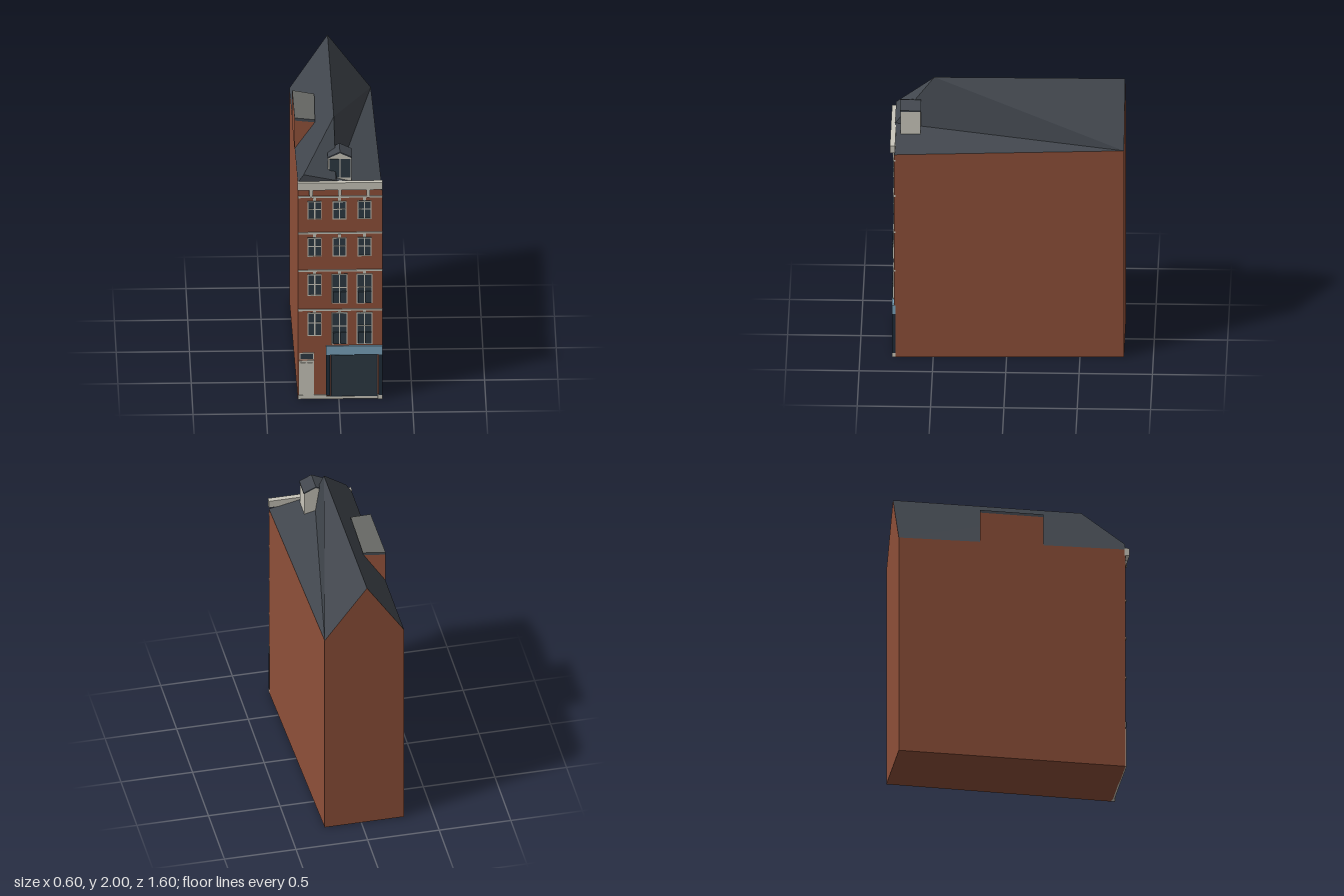
import * as THREE from 'three';

const mat = (color, side = THREE.FrontSide) => new THREE.MeshStandardMaterial({ color, side, flatShading: true });

export function createModel() {
  const model = new THREE.Group();
  model.name = 'townhouse';
  const brick = mat(0x8f5039), slate = mat(0x42474e, THREE.DoubleSide), cream = mat(0xcac7bc),
    glass = mat(0x2d3a44), blue = mat(0x7ba4bd), navy = mat(0x1e2b38), lead = mat(0x666764);
  const Z = 0.767; // facade plane

  // Flat polygons, each fanned from its first corner
  function faces(name, material, polys) {
    const pos = [];
    for (const p of polys)
      for (let i = 1; i < p.length - 1; i++) pos.push(...p[0], ...p[i], ...p[i + 1]);
    const g = new THREE.BufferGeometry();
    g.setAttribute('position', new THREE.Float32BufferAttribute(pos, 3));
    g.computeVertexNormals();
    const m = new THREE.Mesh(g, material);
    m.name = name;
    model.add(m);
  }

  // Box given by its limits
  function box(name, material, x0, x1, y0, y1, z0, z1, parent = model) {
    const m = new THREE.Mesh(new THREE.BoxGeometry(x1 - x0, y1 - y0, z1 - z0), material);
    m.position.set((x0 + x1) / 2, (y0 + y1) / 2, (z0 + z1) / 2);
    m.name = name;
    parent.add(m);
  }

  // Corners of the slightly skewed plan, eaves and ridge
  const BL0 = [-0.3, 0, -0.8], BR0 = [0.255, 0, -0.8], FR0 = [0.296, 0, Z], FL0 = [-0.28, 0, Z];
  const BL = [-0.3, 1.6, -0.8], BR = [0.255, 1.6, -0.8], FR = [0.296, 1.57, Z], FL = [-0.28, 1.63, Z];
  const RB = [-0.04, 2, -0.8], RF = [-0.028, 2, 0.5], HL = [-0.24, 1.69, Z], M = [-0.02, 1.645, Z];

  faces('walls', brick, [
    [FL0, FR0, FR, FL], [BR0, BL0, BL, RB, BR], [BL0, FL0, FL, BL],
    [FR0, BR0, BR, FR], [BL0, BR0, FR0, FL0],
  ]);
  faces('roof', slate, [
    [BL, FL, HL, RF, RB], [RB, RF, BR], [RF, M, BR], [M, FR, BR], [RF, HL, M], [FL, FR, M, HL],
  ]);

  // Raised wall on the left side with a flat cap
  const at = (x, y, z) => [x, y, z];
  const A = (y) => at(-0.294, y, -0.24), B = (y) => at(-0.288, y, 0.2);
  const IA = (y) => at(-0.145, y, -0.2), IB = (y) => at(-0.15, y, 0.21);
  faces('sideDormerWalls', brick, [
    [A(1.6), B(1.6), B(1.83), A(1.83)], [B(1.6), IB(1.82), B(1.83)], [A(1.6), A(1.83), IA(1.82)],
  ]);
  faces('sideDormerCap', lead, [[A(1.85), B(1.85), IB(1.84), IA(1.84)]]);
  faces('sideDormerCapEdge', slate, [
    [B(1.83), IB(1.82), IB(1.84), B(1.85)], [A(1.83), A(1.85), IA(1.84), IA(1.82)],
    [A(1.83), B(1.83), B(1.85), A(1.85)],
  ]);

  // Front dormer: pentagonal body, window and pitched roof
  const gable = new THREE.Shape([[-0.08, 1.6], [0.08, 1.6], [0.08, 1.795], [0, 1.832], [-0.08, 1.795]]
    .map(([x, y]) => new THREE.Vector2(x, y)));
  const dormer = new THREE.Mesh(new THREE.ExtrudeGeometry(gable, { depth: 0.135, bevelEnabled: false }), cream);
  dormer.position.set(0.008, 0, 0.592);
  dormer.name = 'frontDormer';
  model.add(dormer);
  for (const s of [-1, 1]) {
    const strip = [[0, 1.832], [0.084, 1.793], [0.084, 1.802], [0, 1.842]].map(([x, y]) => new THREE.Vector2(x * s, y));
    const slope = new THREE.Mesh(
      new THREE.ExtrudeGeometry(new THREE.Shape(strip), { depth: 0.142, bevelEnabled: false }), slate);
    slope.position.set(0.008, 0, 0.59);
    slope.name = 'frontDormerRoof';
    model.add(slope);
    const x = 0.008 + s * 0.037;
    box('frontDormerGlass', glass, x - 0.034, x + 0.034, 1.65, 1.787, 0.72, 0.73);
  }

  // Cornice with brackets, string courses and plinth
  box('cornice', cream, -0.282, 0.298, 1.585, 1.64, 0.76, 0.795);
  for (const x of [-0.19, 0.005, 0.2]) {
    box('bracket', cream, x - 0.012, x + 0.012, 1.54, 1.59, Z - 0.01, 0.788);
    box('bracketFoot', cream, x - 0.008, x + 0.008, 1.52, 1.54, Z - 0.01, 0.779);
  }
  for (const y of [1.523, 1.25, 0.967, 0.67])
    box('stringCourse', cream, -0.28, 0.296, y - 0.006, y + 0.006, Z - 0.01, 0.775);
  box('plinth', cream, -0.28, -0.085, 0, 0.03, Z - 0.01, 0.775);
  box('plinth', cream, 0.265, 0.296, 0, 0.03, Z - 0.01, 0.782);

  // Sash window with frame, glazing bars and keystone
  function sash(x, w, y0, y1, barY, railing) {
    const g = new THREE.Group(), h = w / 2, t = 0.006;
    g.name = 'window';
    model.add(g);
    box('pane', glass, x - h, x + h, y0, y1, Z - 0.01, 0.771, g);
    for (const s of [-1, 1]) {
      const e = x + s * (h - t / 2);
      box('frameSide', cream, e - t / 2, e + t / 2, y0, y1, Z - 0.01, 0.776, g);
    }
    for (const y of [y0 + t / 2, y1 - t / 2])
      box('frameRail', cream, x - h, x + h, y - t / 2, y + t / 2, Z - 0.01, 0.776, g);
    box('mullion', cream, x - 0.004, x + 0.004, y0, y1, Z - 0.01, 0.775, g);
    box('glazingBar', cream, x - h, x + h, barY - 0.003, barY + 0.003, Z - 0.01, 0.775, g);
    box('keystone', cream, x - 0.01, x + 0.01, y1 + 0.004, y1 + 0.026, Z - 0.01, 0.775, g);
    // Low dark balustrade
    if (railing) for (const s of [-1, 1]) {
      const c = x + s * w * 0.24;
      box('balustrade', glass, c - w * 0.19, c + w * 0.19, y0 + 0.006, y0 + 0.09, Z, 0.783, g);
    }
  }
  for (const x of [-0.165, 0.005, 0.175]) {
    sash(x, 0.095, 1.355, 1.49, 1.43);
    sash(x, 0.095, 1.075, 1.215, 1.152);
  }
  for (const [low, tall, top] of [[0.78, 0.72, 0.94], [0.477, 0.413, 0.65]]) {
    sash(-0.165, 0.095, low, top, top - 0.075);
    for (const x of [0.005, 0.175]) sash(x, 0.107, tall, top, top - 0.1, true);
  }

  // Front door with panels and transom light
  box('doorFrame', cream, -0.272, -0.17, 0, 0.29, Z - 0.01, 0.774);
  for (const x of [-0.246, -0.196])
    box('doorPanel', cream, x - 0.017, x + 0.017, 0.04, 0.275, Z, 0.777);
  box('transomFrame', cream, -0.268, -0.17, 0.298, 0.347, Z - 0.01, 0.773);
  box('transomGlass', glass, -0.263, -0.175, 0.304, 0.341, Z - 0.01, 0.776);

  // Shop front: fascia, posts and large window
  box('shopFascia', blue, -0.087, 0.297, 0.335, 0.4, Z - 0.01, 0.782);
  for (const [x0, x1] of [[-0.087, -0.062], [0.27, 0.297]])
    box('shopPost', navy, x0, x1, 0.03, 0.335, Z - 0.01, 0.78);
  box('shopSill', cream, -0.085, 0.27, 0, 0.018, Z - 0.01, 0.774);
  box('shopWindowFrame', navy, -0.058, 0.264, 0.018, 0.335, Z - 0.01, 0.772);
  box('shopWindow', glass, -0.052, 0.258, 0.024, 0.328, Z - 0.01, 0.775);

  return model;
}
